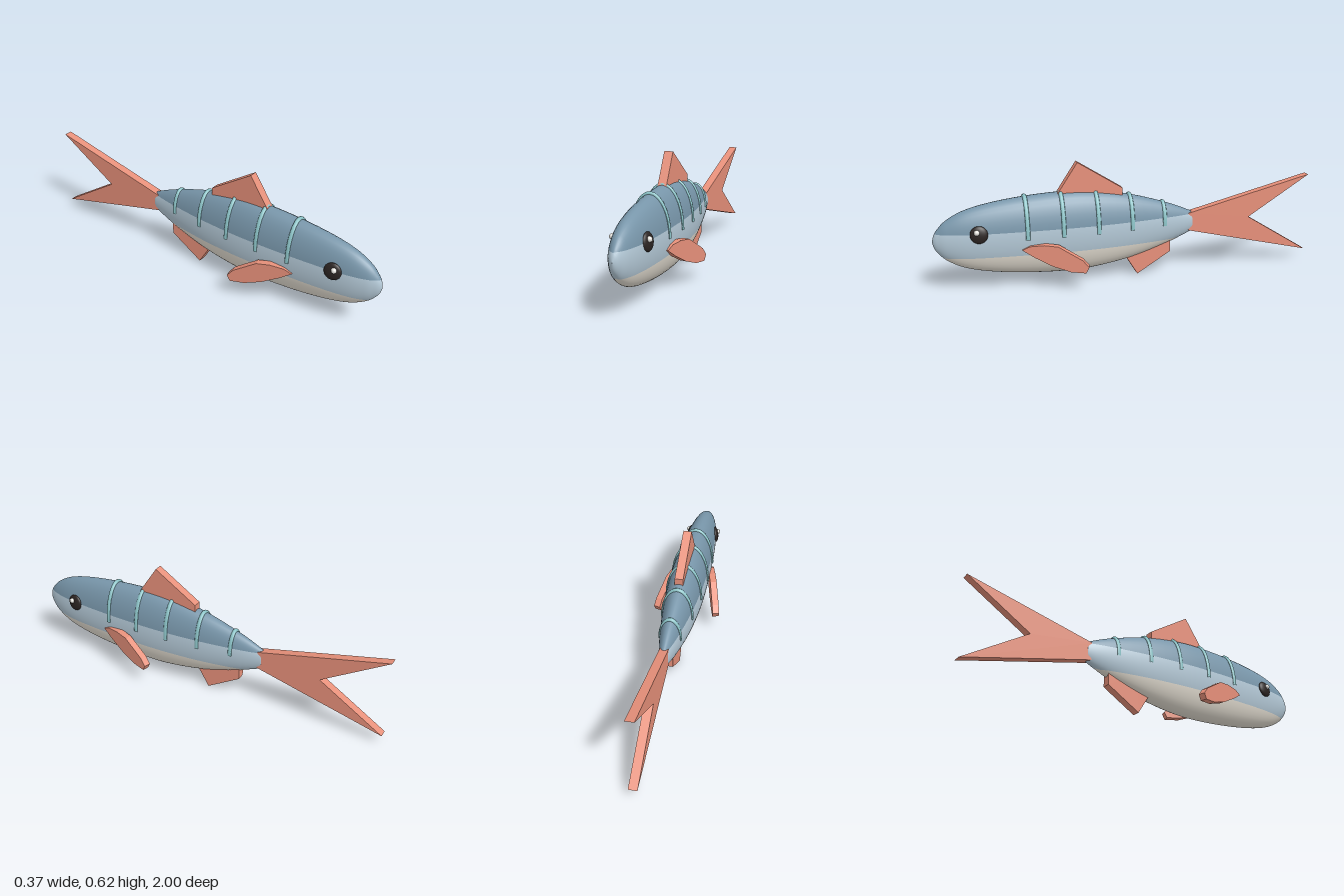
import * as THREE from 'three';

const mat = (name, color) => {
  const m = new THREE.MeshStandardMaterial({ color });
  m.name = name;
  return m;
};

const CY = 0.263;      // height of the body axis
const FLAT = 0.46;     // body width relative to its height
const BACK_Y = 0.305;  // upper colour line
const BELLY_Y = 0.18;  // lower colour line

// Body half-height along z, nose to tail
const profile = new THREE.SplineCurve([
  [1, 0], [0.99, 0.035], [0.97, 0.065], [0.93, 0.103], [0.85, 0.145], [0.73, 0.176],
  [0.56, 0.199], [0.36, 0.211], [0.2, 0.205], [0, 0.172], [-0.2, 0.112],
  [-0.32, 0.063], [-0.345, 0.045], [-0.352, 0],
].map(([z, r]) => new THREE.Vector2(z, r)));

// Strip of the body skin between two angles that depend on the section radius
function bodyBand(from, to, rows = 56, cols = 16) {
  const pos = [], nor = [], idx = [];
  for (let i = 0; i <= rows; i++) {
    const p = profile.getPoint(i / rows), t = profile.getTangent(i / rows);
    const r = Math.max(p.y, 0.0005), a0 = from(r), a1 = to(r);
    for (let j = 0; j <= cols; j++) {
      const a = a0 + (a1 - a0) * j / cols, c = Math.cos(a), s = Math.sin(a);
      pos.push(c * r * FLAT, CY + s * r, p.x);
      const n = new THREE.Vector3(c / FLAT * Math.abs(t.x), s * Math.abs(t.x), t.y).normalize();
      nor.push(n.x, n.y, n.z);
      if (i < rows && j < cols) {
        const k = i * (cols + 1) + j, m = k + cols + 1;
        idx.push(k, m, k + 1, k + 1, m, m + 1);
      }
    }
  }
  const g = new THREE.BufferGeometry();
  g.setAttribute('position', new THREE.Float32BufferAttribute(pos, 3));
  g.setAttribute('normal', new THREE.Float32BufferAttribute(nor, 3));
  g.setIndex(idx);
  return g;
}

// Flat plate outlined in (z, y), with its thickness centred on x
function plate(points, thickness) {
  const shape = new THREE.Shape(points.map(([z, y]) => new THREE.Vector2(z, y)));
  const g = new THREE.ExtrudeGeometry(shape, { depth: thickness, bevelEnabled: false });
  return g.translate(0, 0, -thickness / 2).rotateY(-Math.PI / 2);
}

export function createModel() {
  const model = new THREE.Group();
  model.name = 'fish';
  const back = mat('slateBlue', 0x7896aa);
  const side = mat('paleBlue', 0xb4c9d7);
  const belly = mat('cream', 0xe8e2d6);
  const fin = mat('salmon', 0xe8917b);
  const stripe = mat('teal', 0x8cc4c8);
  const black = mat('nearBlack', 0x2b2422);
  const white = mat('white', 0xf6f4ee);

  const add = (name, geometry, material) => {
    const mesh = new THREE.Mesh(geometry, material);
    mesh.name = name;
    model.add(mesh);
    return mesh;
  };

  // Body in three colour bands
  const angleAt = y => r => Math.asin(THREE.MathUtils.clamp((y - CY) / r, -1, 1));
  const hi = angleAt(BACK_Y), lo = angleAt(BELLY_Y), PI = Math.PI;
  add('bodyBack', bodyBand(hi, r => PI - hi(r)), back);
  add('bodyLeftSide', bodyBand(lo, hi), side);
  add('bodyRightSide', bodyBand(r => PI - hi(r), r => PI - lo(r)), side);
  add('bodyBelly', bodyBand(r => PI - lo(r), r => 2 * PI + lo(r)), belly);

  // Half hoops over the back
  [[0.54, 0.202], [0.36, 0.211], [0.18, 0.202], [0, 0.172], [-0.18, 0.118]].forEach(([z, r], i) => {
    const hoop = add('backStripe' + (i + 1), new THREE.TorusGeometry(r, 0.011, 8, 14, PI), stripe);
    hoop.scale.x = 0.475;
    hoop.position.set(0, CY, z);
  });

  // Fins on the centre line
  add('tailFin', plate([[-0.32, 0.31], [-1, 0.475], [-0.66, CY], [-1, 0.051], [-0.32, 0.216]], 0.044), fin);
  add('dorsalFin', plate([[0.38, 0.46], [0.272, 0.622], [0.04, 0.475], [0.04, 0.4], [0.3, 0.42]], 0.044), fin);
  add('analFin', plate([[0.03, 0.115], [-0.04, 0], [-0.22, 0.11], [-0.22, 0.2], [-0.05, 0.2]], 0.044), fin);

  // Paired side fins and eyes
  const sideFin = plate([
    [0.33, 0.213], [0.29, 0.232], [0.22, 0.238], [0.15, 0.23], [0.03, 0.158], [0, 0.122],
    [0.015, 0.092], [0.09, 0.098], [0.18, 0.128], [0.27, 0.175],
  ], 0.036);
  const ball = new THREE.SphereGeometry(1, 24, 16);
  for (const [s, label] of [[1, 'left'], [-1, 'right']]) {
    const f = add(label + 'SideFin', sideFin, fin);
    f.position.set(s * 0.167, 0, 0.25);
    f.rotation.y = -s * 0.27;

    const eye = add(label + 'Eye', ball, black);
    eye.scale.set(0.016, 0.044, 0.044);
    eye.position.set(s * 0.074, 0.304, 0.777);
    eye.rotation.set(0, -s * 0.15, s * 0.12);

    const glint = add(label + 'EyeGlint', ball, white);
    glint.scale.setScalar(0.014);
    glint.position.set(s * 0.085, 0.318, 0.788);
  }
  return model;
}
